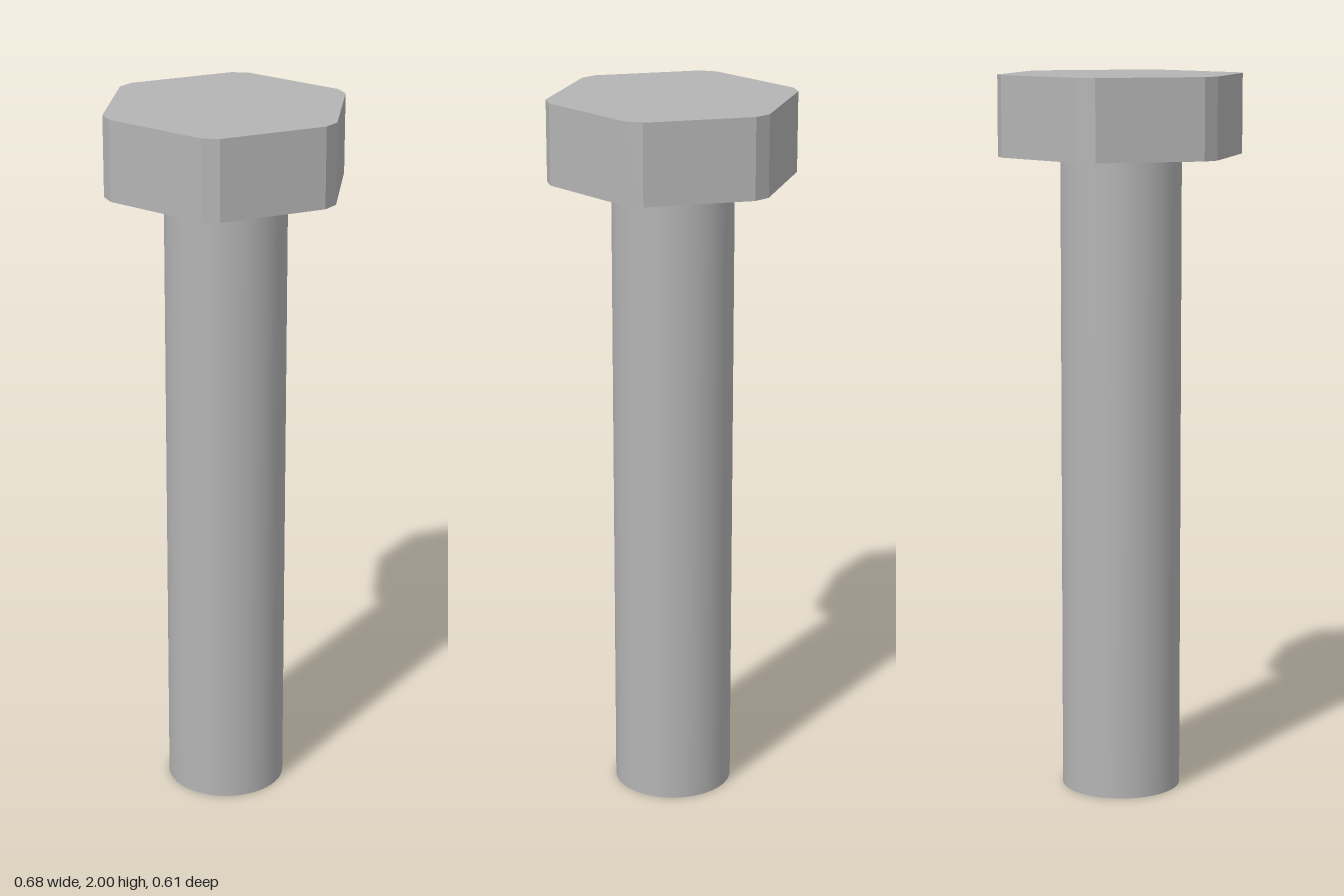
import * as THREE from 'three';

export function createModel() {
  const steel = new THREE.MeshStandardMaterial({ color: 0xb4b4b4 });
  steel.name = 'steel grey';

  const height = 2, headBase = 1.78, headRadius = 0.339, shaftRadius = 0.166;
  const model = new THREE.Group();
  model.name = 'hexBolt';

  // Hexagonal head with each upright corner cut flat
  const cornerHalfAngle = THREE.MathUtils.degToRad(4.1);
  const outline = [];
  for (let i = 0; i < 6; i++) {
    for (const side of [-1, 1]) {
      const a = i * Math.PI / 3 + side * cornerHalfAngle;
      outline.push(new THREE.Vector2(Math.cos(a), Math.sin(a)).multiplyScalar(headRadius));
    }
  }
  const headGeometry = new THREE.ExtrudeGeometry(new THREE.Shape(outline), {
    depth: height - headBase, bevelEnabled: false,
  });
  headGeometry.rotateX(-Math.PI / 2);
  const head = new THREE.Mesh(headGeometry, steel);
  head.name = 'head';
  head.position.y = headBase;
  model.add(head);

  // Plain round shaft
  const shaft = new THREE.Mesh(
    new THREE.CylinderGeometry(shaftRadius, shaftRadius, headBase, 48), steel);
  shaft.name = 'shaft';
  shaft.position.y = headBase / 2;
  model.add(shaft);

  return model;
}
